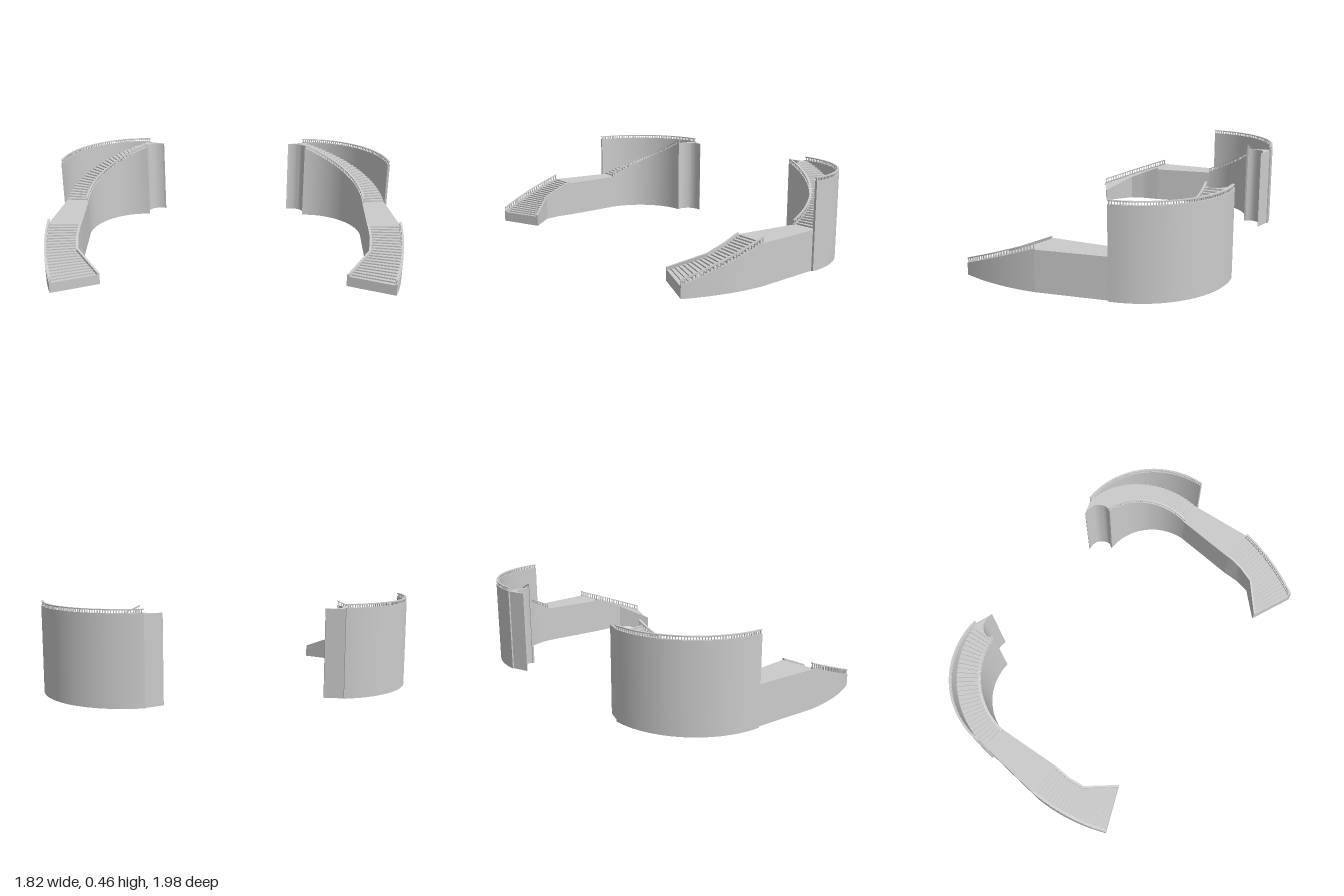
import * as THREE from 'three';
import { toCreasedNormals } from 'three/addons/utils/BufferGeometryUtils.js';

const material = new THREE.MeshStandardMaterial({ color: 0xcccccc, side: THREE.DoubleSide });
const v2 = (x, z) => new THREE.Vector2(x, z);
const centre = v2(0.46, 0.262), mirrorCentre = v2(-0.095, -0.552), normal = v2(0.565, 0.825);

// plan curves: each maps t in 0..1 to a point (x, z)
const poly = (...pts) => t => {
  const f = t * (pts.length - 1), i = Math.min(Math.floor(f), pts.length - 2);
  return pts[i].clone().lerp(pts[i + 1], f - i);
};
const smooth = curve => t => curve.getPoint(t);
const polar = (r, deg) => {
  const a = THREE.MathUtils.degToRad(deg);
  return v2(centre.x + r * Math.cos(a), centre.y + r * Math.sin(a));
};
const arc = (r, from, to) => t => polar(r, from + (to - from) * t);
// a curve moved a fixed distance towards another one
const inset = (a, b, d) => t => {
  const p = a(t), dir = b(t).sub(p);
  return p.addScaledVector(dir.normalize(), d);
};
const ramp = (lo, hi) => t => lo + (hi - lo) * t;
const flat = y => () => y;

function buildStair(mirrored) {
  const stair = new THREE.Group();
  stair.name = mirrored ? 'backStair' : 'frontStair';

  const place = (p, y) => {
    if (!mirrored) return new THREE.Vector3(p.x, y, p.y);
    const d = p.clone().sub(centre);
    d.addScaledVector(normal, -2 * d.dot(normal)).add(mirrorCentre);
    return new THREE.Vector3(d.x, y, d.y);
  };
  const quad = (out, a, b, c, d) => out.push(a, b, c, a, c, d);
  const add = (name, corners, flip, crease = 0.5) => {
    const pts = [];
    for (let i = 0; i < corners.length; i += 3) {
      const [a, b, c] = corners.slice(i, i + 3);
      pts.push(...(flip ? [a, c, b] : [a, b, c]));
    }
    const g = toCreasedNormals(new THREE.BufferGeometry().setFromPoints(pts), crease);
    const mesh = new THREE.Mesh(g, material);
    mesh.name = name;
    stair.add(mesh);
  };

  // closed bar of rectangular section between plan curves a and b
  const bar = (a, b, y0, y1, n, t0 = 0, t1 = 1) => {
    const rings = [], out = [];
    for (let i = 0; i <= n; i++) {
      const t = t0 + (t1 - t0) * i / n, p = a(t), q = b(t);
      rings.push([place(p, y0(t)), place(p, y1(t)), place(q, y1(t)), place(q, y0(t))]);
    }
    for (let i = 0; i < n; i++)
      for (let k = 0; k < 4; k++) {
        const m = (k + 1) % 4;
        quad(out, rings[i][k], rings[i][m], rings[i + 1][m], rings[i + 1][k]);
      }
    const [s, e] = [rings[0], rings[n]];
    quad(out, s[3], s[2], s[1], s[0]);
    quad(out, e[0], e[1], e[2], e[3]);
    // turn the faces outward
    let volume = 0;
    for (let i = 0; i < out.length; i += 3)
      volume += out[i].clone().sub(s[0]).dot(
        out[i + 1].clone().sub(s[0]).cross(out[i + 2].clone().sub(s[0])));
    if (volume < 0)
      for (let i = 0; i < out.length; i += 3) [out[i + 1], out[i + 2]] = [out[i + 2], out[i + 1]];
    return out;
  };
  const wall = (name, a, b, top, n, thick = 0.012) =>
    add(name, bar(a, inset(a, b, thick), flat(0), top, n));

  // handrail on many small balusters
  const railing = (name, a, b, base, height, count) => {
    const outer = inset(a, b, 0.001), inner = inset(a, b, 0.012);
    const postA = inset(a, b, 0.004), postB = inset(a, b, 0.009);
    const top = t => base(t) + height, under = t => base(t) + height - 0.005;
    const parts = bar(outer, inner, under, top, 32);
    for (let i = 0; i < count; i++) {
      const t = 0.005 + 0.98 * i / (count - 1);
      for (const c of bar(postA, postB, base, under, 1, t, t + 0.3 / count)) parts.push(c);
    }
    add(name, parts, false);
  };

  // risers and treads
  const steps = (name, inner, outer, lo, hi, n, ground) => {
    const out = [], height = ramp(lo, hi);
    for (let i = 0; i <= n; i++) {
      const t = i / n, u = (i + 1) / n, y = height(t);
      const below = i ? height((i - 1) / n) : ground;
      const p = inner(t), q = outer(t);
      quad(out, place(p, below), place(q, below), place(q, y), place(p, y));
      if (i < n) quad(out, place(p, y), place(q, y), place(outer(u), y), place(inner(u), y));
    }
    add(name, out, mirrored, 0.3);
  };

  // lower flight, flaring out towards the ground
  const lowIn = poly(v2(0.01, 0.735), v2(0.1, 0.75), v2(0.19, 0.765), v2(0.268, 0.73), v2(0.34, 0.68));
  const lowOut = smooth(new THREE.QuadraticBezierCurve(v2(0.06, 0.985), v2(0.27, 0.945), v2(0.44, 0.83)));
  steps('lowerSteps', lowIn, lowOut, 0.055, 0.2, 20, 0);
  wall('lowerInnerWall', lowIn, lowOut, ramp(0.065, 0.21), 16);
  wall('lowerOuterWall', lowOut, lowIn, ramp(0.06, 0.205), 16);
  railing('lowerRailing', lowOut, lowIn, ramp(0.06, 0.205), 0.025, 26);

  // straight landing
  const landIn = poly(v2(0.34, 0.68), polar(0.303, 55));
  const landOut = poly(v2(0.44, 0.83), polar(0.432, 55));
  add('landing', bar(landIn, landOut, flat(0.194), flat(0.2), 1));
  wall('landingInnerWall', landIn, landOut, flat(0.2), 1, 0.006);
  wall('landingOuterWall', landOut, landIn, flat(0.2), 1, 0.006);

  // upper curved flight with a level outer wall
  const upIn = arc(0.303, 55, -37), upOut = arc(0.443, 55, -37);
  steps('upperSteps', arc(0.303, 55, -33), arc(0.438, 55, -33), 0.2, 0.43, 28, 0.194);
  wall('upperInnerWall', upIn, upOut, ramp(0.205, 0.435), 32, 0.01);
  wall('upperOuterWall', upOut, upIn, flat(0.435), 32);
  railing('upperInnerRailing', upIn, upOut, ramp(0.205, 0.435), 0.02, 40);
  railing('upperOuterRailing', upOut, upIn, flat(0.435), 0.018, 56);

  // top platform ending in a concave edge
  const tip = v2(0.733, -0.055);
  const edge = smooth(new THREE.SplineCurve([polar(0.303, -37), v2(0.738, 0.07), v2(0.76, 0.042),
    v2(0.768, 0.01), v2(0.757, -0.025), tip]));
  const back = poly(polar(0.303, -33), polar(0.438, -33), v2(0.74, -0.05));
  add('topPlatform', bar(edge, back, flat(0.424), flat(0.43), 20));
  wall('platformEndWall', edge, back, flat(0.43), 20, 0.003);
  const side = poly(polar(0.438, -36), tip);
  wall('platformSideWall', side, flat(v2(0.74, 0.03)), flat(0.43), 1, 0.003);

  return stair;
}

export function createModel() {
  const model = new THREE.Group();
  model.name = 'pairedCurvedStairs';
  model.add(buildStair(false), buildStair(true));
  return model;
}
